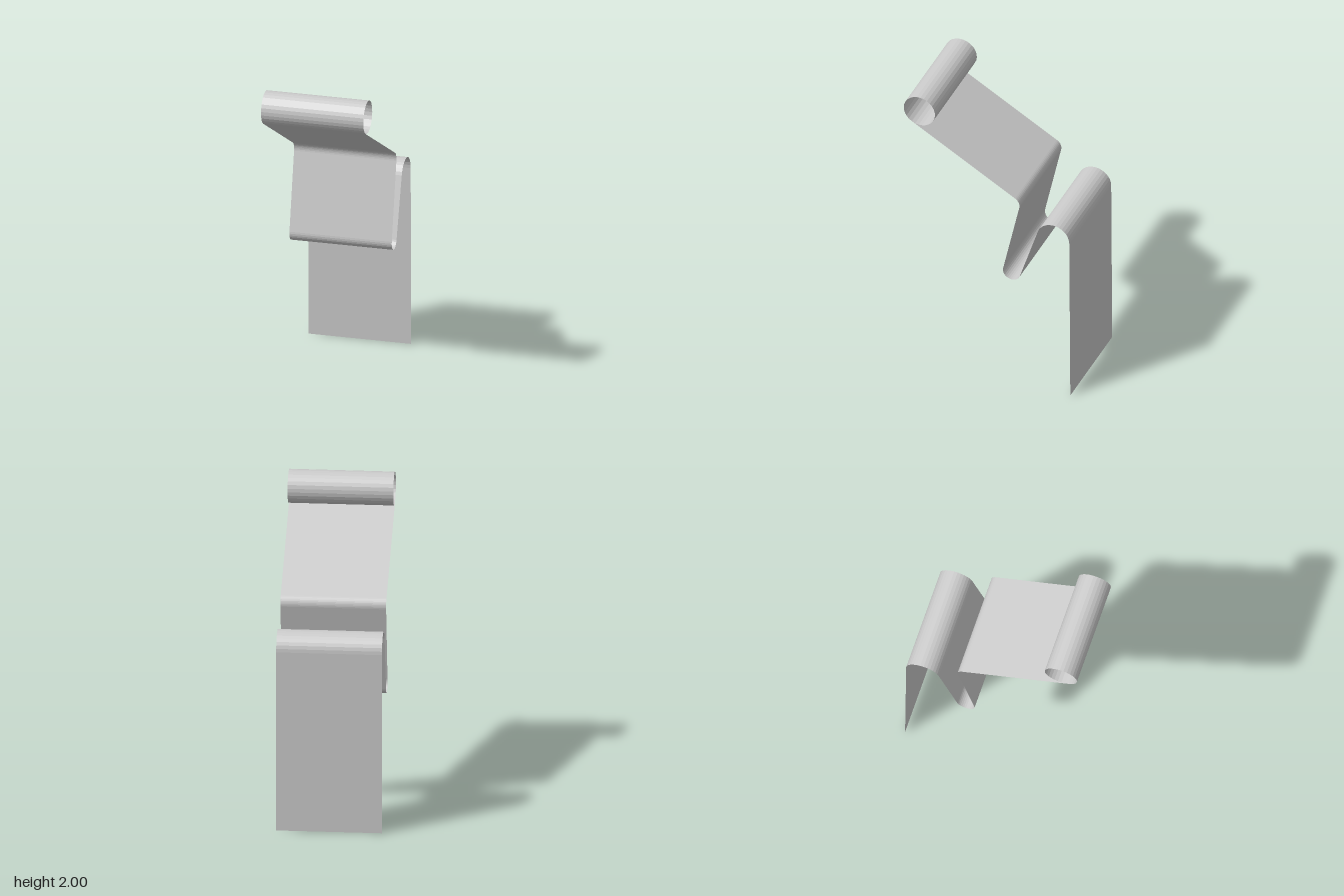
import * as THREE from 'three';

const WIDTH = 0.655;
const rad = THREE.MathUtils.degToRad;

// Bends of the folded sheet in side profile, from the curl down to the hanging end:
// centre z, centre y, radius, start angle, end angle (degrees), segments.
// Straight panels join one bend to the next.
const bends = [
  [0.455, 1.895, 0.105, 298, -60, 28], // rolled top edge
  [-0.158, 1.36, 0.06, 120, 192.3, 8], // knee behind the sloping panel
  [-0.165, 0.838, 0.058, 12.3, -162.8, 14], // lower fold
  [-0.445, 1.17, 0.108, 17.5, 180, 14], // upper fold
];

function sheetProfile() {
  const points = [];
  for (const [z, y, r, from, to, n] of bends) {
    for (let i = 0; i <= n; i++) {
      const a = rad(from + ((to - from) * i) / n);
      points.push(new THREE.Vector2(z + r * Math.cos(a), y + r * Math.sin(a)));
    }
  }
  points.push(new THREE.Vector2(-0.56, 0)); // free end of the hanging panel
  return points;
}

export function createModel() {
  const group = new THREE.Group();
  group.name = 'foldedSheet';

  // A strip whose rows follow the profile
  const profile = sheetProfile();
  const geometry = new THREE.PlaneGeometry(WIDTH, 1, 1, profile.length - 1);
  const pos = geometry.attributes.position;
  for (let i = 0; i < pos.count; i++) {
    const p = profile[Math.floor(i / 2)];
    pos.setXYZ(i, pos.getX(i), p.y, p.x);
  }
  geometry.computeVertexNormals();

  const sheet = new THREE.Mesh(
    geometry,
    new THREE.MeshStandardMaterial({ color: 0xcccccc, flatShading: true, side: THREE.DoubleSide })
  );
  sheet.name = 'sheet';
  group.add(sheet);
  return group;
}
